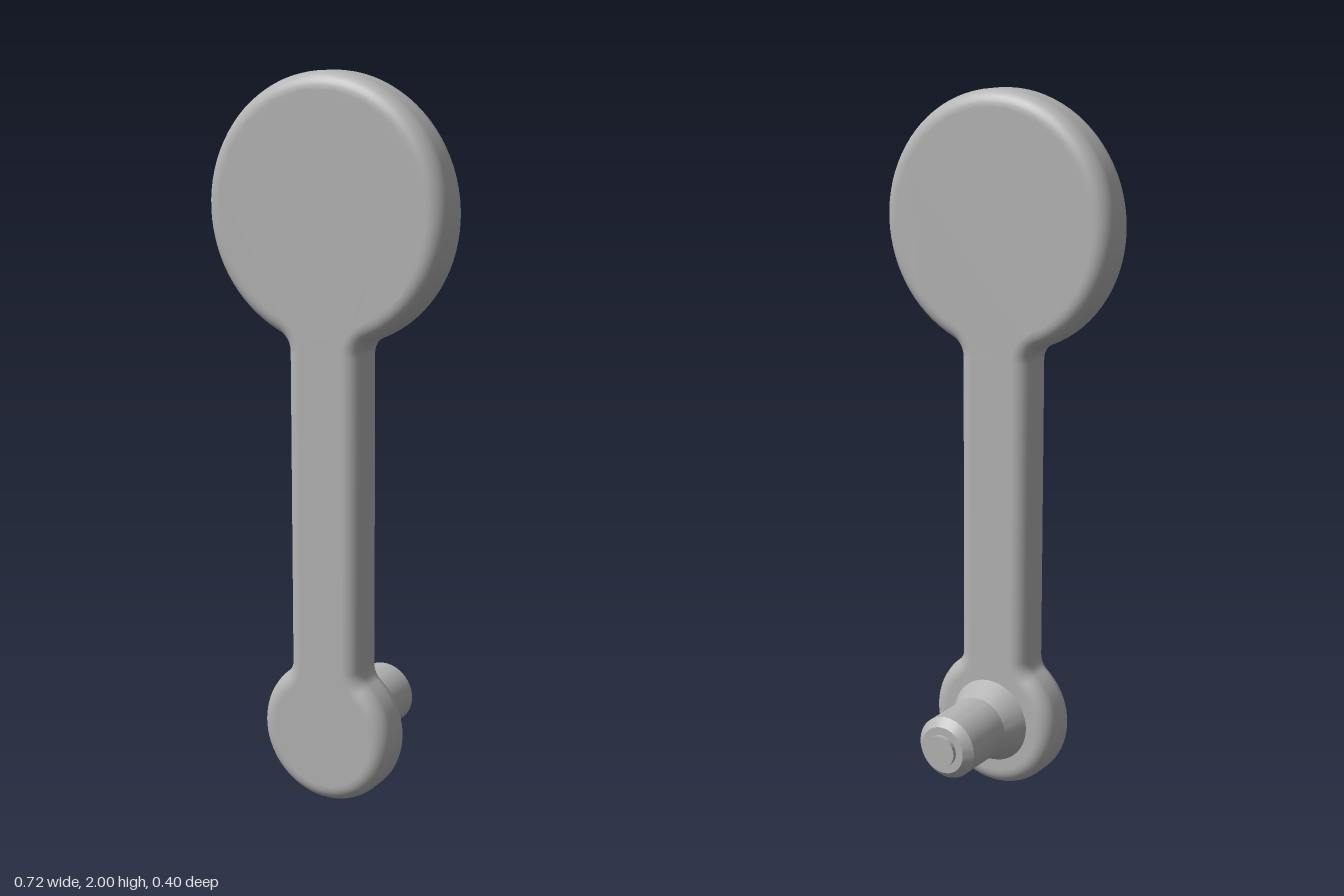
import * as THREE from 'three';
import { mergeVertices, toCreasedNormals } from 'three/addons/utils/BufferGeometryUtils.js';

const BEVEL = 0.045, BACK = 0.06, FRONT = 0.195;
const LOW_Y = 0.2, HIGH_Y = 1.642;

// Two discs joined by a straight bar with filleted corners, inset by the bevel
function bodyOutline() {
  const R = 0.358 - BEVEL, r = 0.2 - BEVEL, f = 0.05 + BEVEL;
  const fx = 0.11 - BEVEL + f; // fillet centre x
  const dyR = Math.sqrt((R + f) ** 2 - fx ** 2);
  const dyr = Math.sqrt((r + f) ** 2 - fx ** 2);
  const a = Math.atan2(-dyR, fx), s = Math.atan2(dyr, fx);
  const pts = [];
  const arc = (cx, cy, rad, from, to, n) => {
    for (let i = 0; i <= n; i++) {
      const t = from + (to - from) * i / n;
      const p = new THREE.Vector2(cx + rad * Math.cos(t), cy + rad * Math.sin(t));
      if (!pts.length || p.distanceTo(pts[pts.length - 1]) > 1e-4) pts.push(p);
    }
  };
  arc(0, HIGH_Y, R, a, Math.PI - a, 72);
  arc(-fx, HIGH_Y - dyR, f, -a, 0, 10);
  arc(-fx, LOW_Y + dyr, f, 0, -s, 10);
  arc(0, LOW_Y, r, Math.PI - s, 2 * Math.PI + s, 56);
  arc(fx, LOW_Y + dyr, f, Math.PI + s, Math.PI, 10);
  arc(fx, HIGH_Y - dyR, f, Math.PI, Math.PI + a, 10);
  pts.pop(); // closes on the first point
  return new THREE.Shape(pts);
}

export function createModel() {
  const group = new THREE.Group();
  group.name = 'leverHandle';
  const grey = new THREE.MeshStandardMaterial({ color: 0xb4b4b4 });
  grey.name = 'grey';

  // Flat handle with rounded rims
  let body = new THREE.ExtrudeGeometry(bodyOutline(), {
    depth: FRONT - BACK - 2 * BEVEL,
    bevelEnabled: true, bevelSize: BEVEL, bevelThickness: BEVEL, bevelSegments: 8,
  });
  body.translate(0, 0, BACK + BEVEL);
  body.deleteAttribute('normal');
  body.deleteAttribute('uv');
  body = mergeVertices(body, 1e-5);
  body.computeVertexNormals();
  const handle = new THREE.Mesh(body, grey);
  handle.name = 'handle';
  group.add(handle);

  // Pivot peg: flared foot, shaft, chamfer and small end button
  const profile = [
    [0.122, -0.07], [0.122, -0.06], [0.09, 0.005], [0.09, 0.165],
    [0.068, 0.188], [0.045, 0.188], [0.045, 0.2], [0, 0.2],
  ].map(([x, y]) => new THREE.Vector2(x, y));
  const pegGeometry = toCreasedNormals(new THREE.LatheGeometry(profile, 56), 0.3);
  pegGeometry.rotateX(-Math.PI / 2);
  const peg = new THREE.Mesh(pegGeometry, grey);
  peg.name = 'pivotPeg';
  peg.position.y = LOW_Y + 0.003;
  group.add(peg);

  return group;
}
